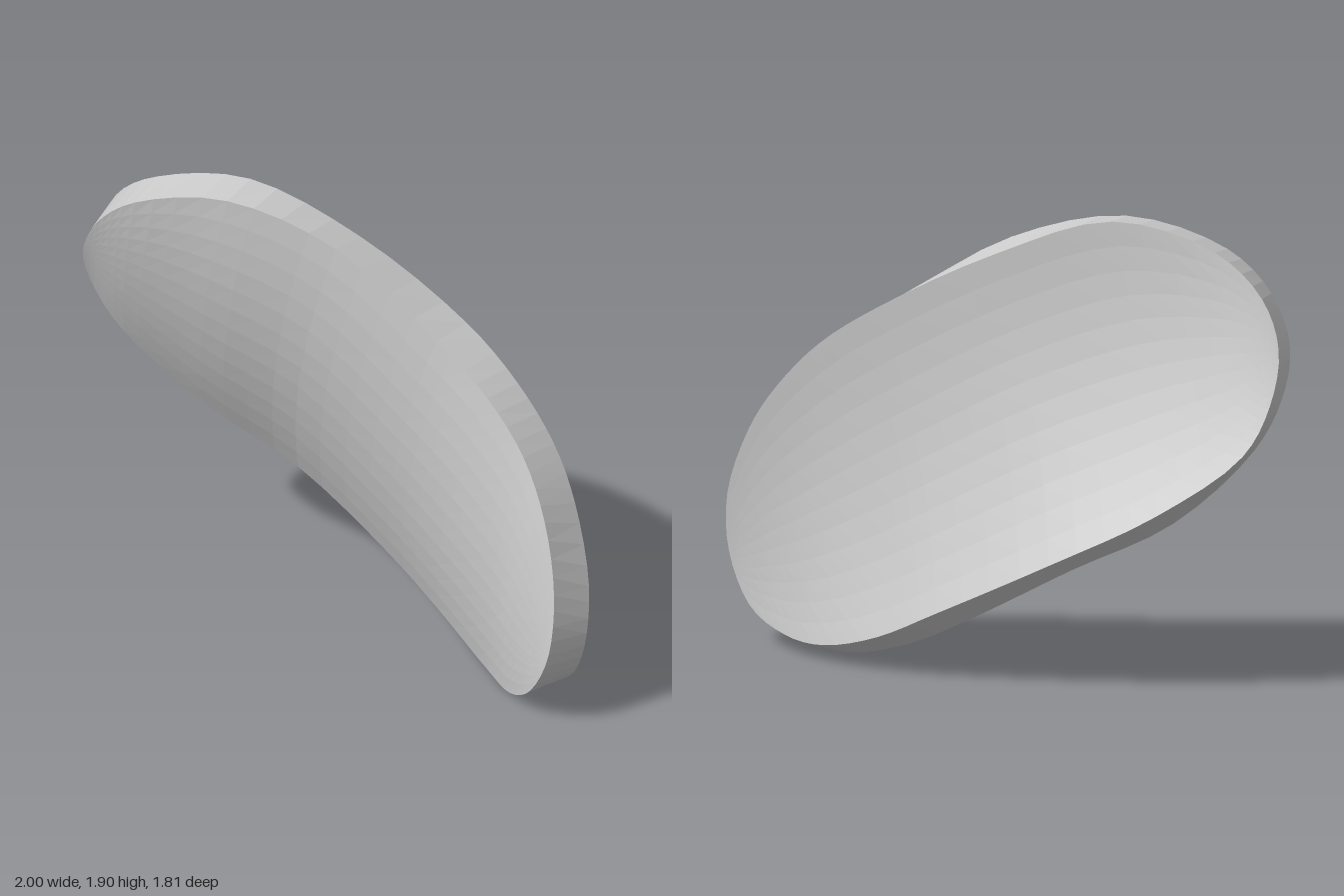
import * as THREE from 'three';

// Outlines run from the far tip along the upper edge to the near tip, then back along the lower edge.
const frontOutline = [
  [-1, 1.4, -0.67], [-0.95, 1.6, -0.56], [-0.8, 1.765, -0.43], [-0.43, 1.88, -0.22], [0, 1.77, 0],
  [0.4, 1.48, 0.27], [0.6, 1.31, 0.45], [0.74, 1.12, 0.61], [0.82, 0.9, 0.76], [0.853, 0.62, 0.87],
  [0.83, 0.36, 0.9],
  [0.76, 0.13, 0.78], [0.685, 0.015, 0.59], [0.6, 0.002, 0.36], [0.42, 0.095, 0.03], [0.23, 0.23, -0.2],
  [-0.13, 0.48, -0.5], [-0.51, 0.69, -0.68], [-0.83, 0.99, -0.75], [-0.95, 1.2, -0.74],
];
const backOutline = [
  [-0.91, 1.42, -0.84], [-0.86, 1.62, -0.76], [-0.7, 1.79, -0.6], [-0.33, 1.893, -0.38], [0.11, 1.735, -0.16],
  [0.53, 1.48, 0.12], [0.73, 1.3, 0.31], [0.87, 1.1, 0.46], [0.95, 0.9, 0.6], [1, 0.6, 0.76],
  [0.98, 0.35, 0.81],
  [0.925, 0.15, 0.7], [0.84, 0.07, 0.45], [0.74, 0.07, 0.2], [0.58, 0.15, -0.07], [0.39, 0.285, -0.3],
  [0, 0.53, -0.63], [-0.4, 0.755, -0.83], [-0.74, 1, -0.91], [-0.86, 1.2, -0.89],
];
const STATIONS = 40, ACROSS = 12, BULGE = 0.055;

const toCurve = (pts) => new THREE.CatmullRomCurve3(pts.map((p) => new THREE.Vector3(...p)), true);

function meshFrom(name, triangles, material) {
  const geometry = new THREE.BufferGeometry().setFromPoints(triangles);
  geometry.computeVertexNormals();
  const mesh = new THREE.Mesh(geometry, material);
  mesh.name = name;
  return mesh;
}

export function createModel() {
  const group = new THREE.Group();
  group.name = 'saddlePlate';
  const material = new THREE.MeshStandardMaterial({ color: 0xcccccc, flatShading: true });
  const front = toCurve(frontOutline), back = toCurve(backOutline);
  const edge = (curve, k) => curve.getPoint((k % (2 * STATIONS)) / (2 * STATIONS));

  // Point on a face: across the width from lower to upper edge, arched towards the front
  const facePoint = (curve, i, j) => {
    const s = j / ACROSS;
    const upper = edge(curve, i), lower = edge(curve, 2 * STATIONS - i);
    const normal = edge(front, i).add(edge(front, 2 * STATIONS - i))
      .sub(edge(back, i)).sub(edge(back, 2 * STATIONS - i)).normalize();
    const arch = BULGE * upper.distanceToSquared(lower) * 4 * s * (1 - s);
    return lower.lerp(upper, s).addScaledVector(normal, arch);
  };

  // Front and back faces, with single triangles at the two tips
  const buildFace = (name, curve, flip) => {
    const tris = [];
    const add = (a, b, c) => tris.push(...(flip ? [a, c, b] : [a, b, c]));
    for (let i = 0; i < STATIONS; i++) {
      for (let j = 0; j < ACROSS; j++) {
        const a = facePoint(curve, i, j), b = facePoint(curve, i + 1, j);
        const c = facePoint(curve, i + 1, j + 1), d = facePoint(curve, i, j + 1);
        if (i < STATIONS - 1) add(a, b, c);
        if (i === STATIONS - 1) add(a, b, d);
        else if (i > 0) add(a, c, d);
      }
    }
    group.add(meshFrom(name, tris, material));
  };
  buildFace('frontFace', front, false);
  buildFace('backFace', back, true);

  // Rim joining the two outlines
  const rim = [];
  for (let k = 0; k < 2 * STATIONS; k++) {
    const p = edge(front, k), q = edge(front, k + 1);
    const p2 = edge(back, k), q2 = edge(back, k + 1);
    rim.push(p, q, q2, p, q2, p2);
  }
  group.add(meshFrom('rim', rim, material));

  // Settle on the ground and centre
  const box = new THREE.Box3().setFromObject(group);
  const centre = box.getCenter(new THREE.Vector3());
  group.children.forEach((m) => m.geometry.translate(-centre.x, -box.min.y, -centre.z));
  return group;
}
